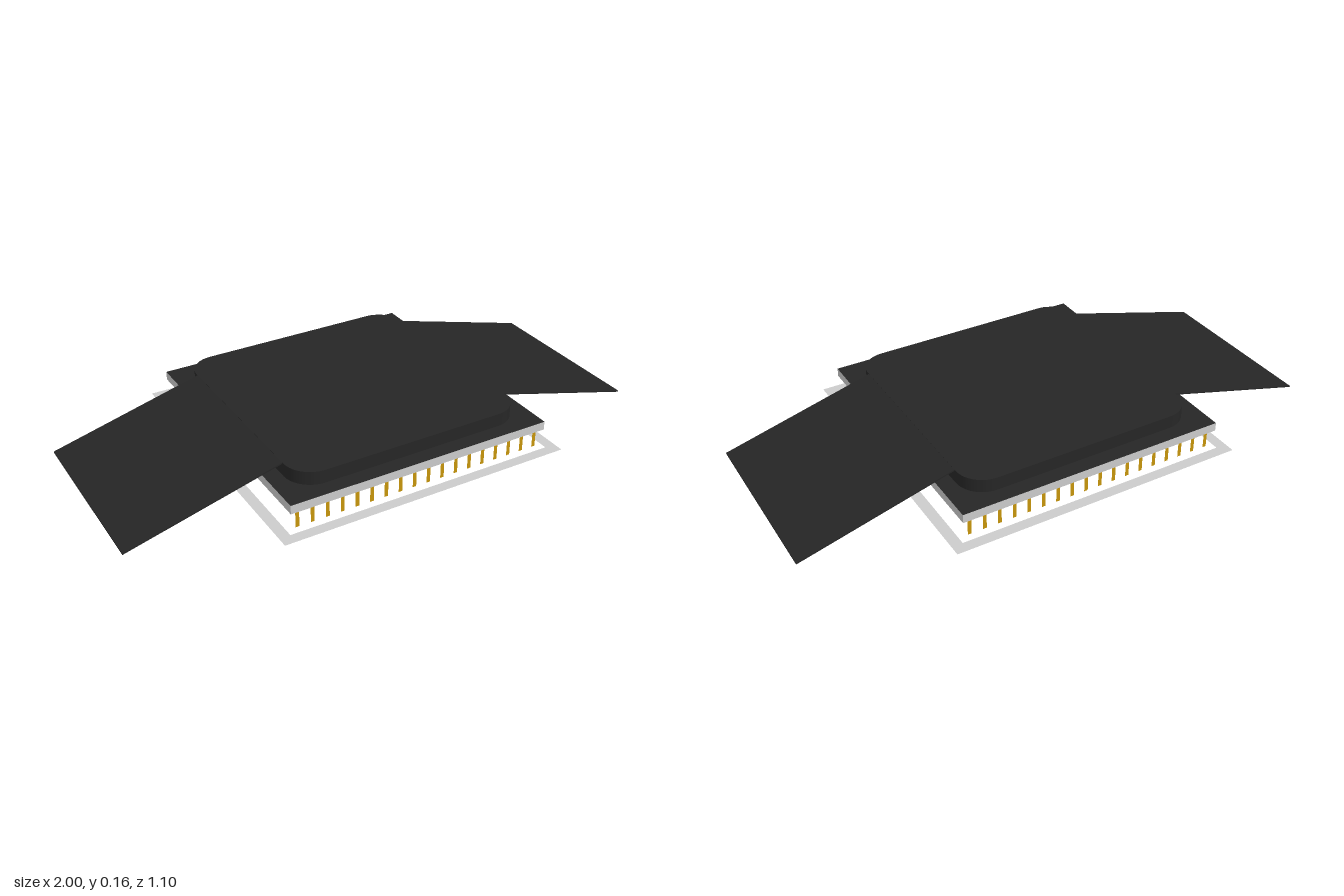
import * as THREE from 'three';

const dark = new THREE.MeshStandardMaterial({ color: 0x262626 });
const grey = new THREE.MeshStandardMaterial({ color: 0xcccccc });
const greyThin = new THREE.MeshStandardMaterial({ color: 0xcccccc, side: THREE.DoubleSide });
const gold = new THREE.MeshStandardMaterial({ color: 0xc8960c, side: THREE.DoubleSide });

function add(parent, name, geometry, material) {
  const mesh = new THREE.Mesh(geometry, material);
  mesh.name = name;
  parent.add(mesh);
  return mesh;
}

function squarePath(path, h) {
  path.moveTo(-h, -h);
  path.lineTo(h, -h);
  path.lineTo(h, h);
  path.lineTo(-h, h);
  path.closePath();
  return path;
}

function roundedSquare(h, r) {
  const s = new THREE.Shape();
  s.absarc(h - r, h - r, r, 0, Math.PI / 2);
  s.absarc(r - h, h - r, r, Math.PI / 2, Math.PI);
  s.absarc(r - h, r - h, r, Math.PI, Math.PI * 1.5);
  s.absarc(h - r, r - h, r, Math.PI * 1.5, Math.PI * 2);
  s.closePath();
  return s;
}

export function createModel() {
  const model = new THREE.Group();
  model.name = 'chipPackage';

  // Base plate: light edges, dark top and underside
  const plate = add(model, 'basePlate', new THREE.BoxGeometry(1, 0.032, 1),
    [grey, grey, dark, dark, grey, grey]);
  plate.position.y = 0.09;

  // Raised body with rounded corners
  const body = new THREE.ExtrudeGeometry(roundedSquare(0.442, 0.1),
    { depth: 0.049, bevelEnabled: false, curveSegments: 8 });
  add(model, 'raisedBody', body.rotateX(-Math.PI / 2).translate(0, 0.106, 0), dark);

  // Thin flaps sloping from the body top down to the ground
  const profile = new THREE.Shape([[0.44, 0.15], [1, 0], [1, 0.005], [0.44, 0.155]]
    .map(([x, y]) => new THREE.Vector2(x, y)));
  for (const side of [1, -1]) {
    const flap = new THREE.ExtrudeGeometry(profile, { depth: 0.67, bevelEnabled: false });
    flap.translate(0, 0, -0.335);
    if (side < 0) flap.rotateY(Math.PI);
    add(model, side > 0 ? 'leftFlap' : 'rightFlap', flap, dark);
  }

  // Flat ground frame
  const ring = squarePath(new THREE.Shape(), 0.548);
  ring.holes.push(squarePath(new THREE.Path(), 0.508));
  add(model, 'groundFrame', new THREE.ShapeGeometry(ring).rotateX(-Math.PI / 2).translate(0, 0.002, 0), greyThin);

  // Rows of flat contact pins along the front and back
  for (const side of [1, -1]) {
    const row = new THREE.Group();
    row.name = side > 0 ? 'frontPins' : 'backPins';
    for (let i = 0; i < 18; i++) {
      const pin = add(row, 'pin', new THREE.PlaneGeometry(0.014, 0.069), gold);
      pin.position.set(-0.47 + i * 0.0553, 0.0405, side * 0.485);
      if (side < 0) pin.rotation.y = Math.PI;
    }
    model.add(row);
  }
  return model;
}
